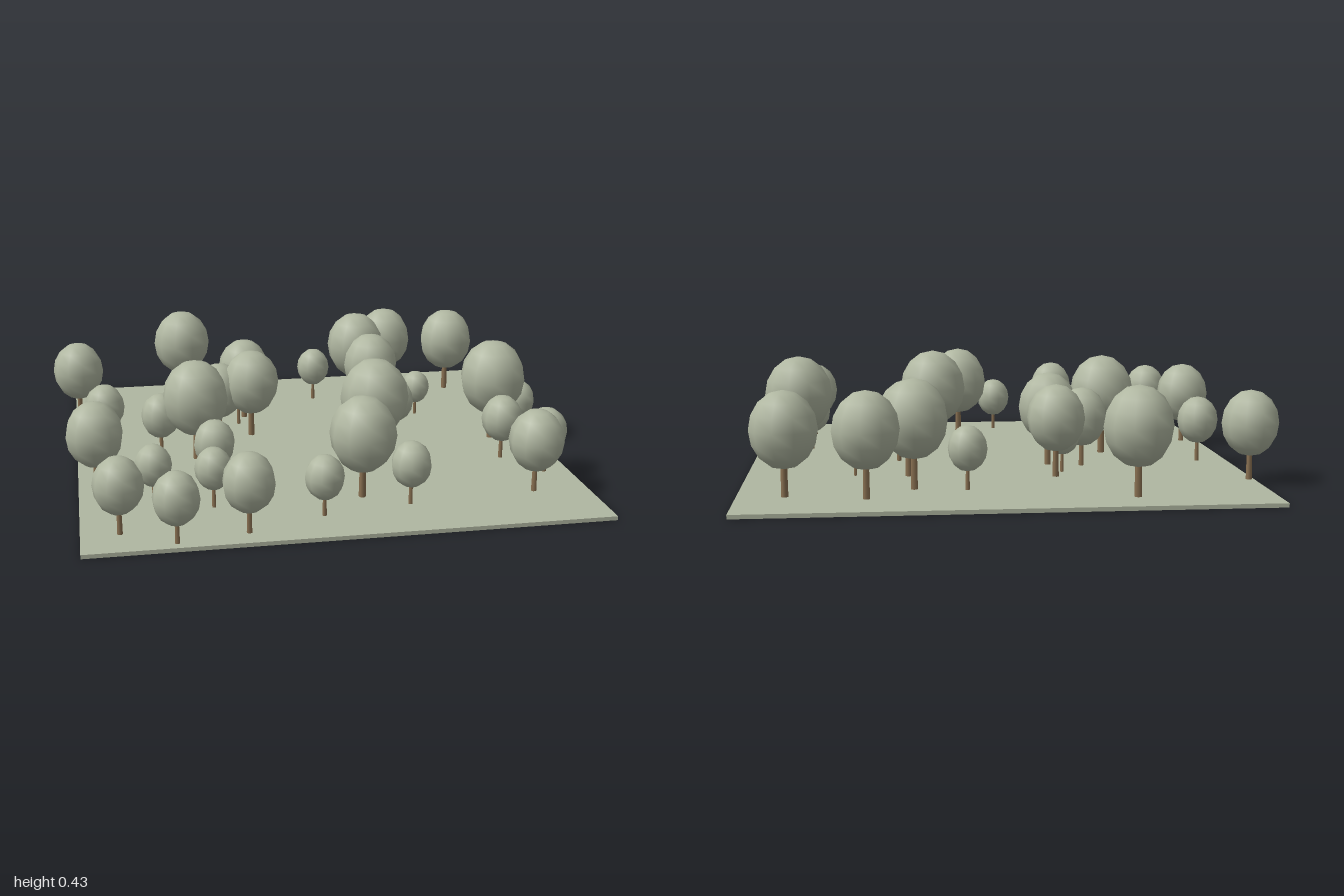
import * as THREE from 'three';

// x, z, crown radius, height of the tree top
const TREES = [
  [-0.415, -0.82, 0.125, 0.41], [-0.89, -0.555, 0.107, 0.352],
  [0.17, -0.65, 0.072, 0.25], [0.36, -0.62, 0.126, 0.417],
  [0.53, -0.77, 0.12, 0.396], [0.815, -0.71, 0.12, 0.392],
  [0.375, -0.375, 0.116, 0.382], [0.575, -0.35, 0.061, 0.21],
  [-0.178, -0.435, 0.11, 0.366], [-0.215, -0.345, 0.068, 0.24],
  [-0.31, -0.22, 0.1, 0.325], [-0.18, -0.19, 0.116, 0.382],
  [-0.79, -0.163, 0.081, 0.275], [-0.572, -0.012, 0.078, 0.27],
  [-0.437, 0.06, 0.131, 0.422], [0.405, -0.058, 0.08, 0.27],
  [0.805, 0.015, 0.134, 0.434], [0.922, 0.0, 0.073, 0.253],
  [0.258, 0.2, 0.135, 0.434], [0.768, 0.26, 0.081, 0.275],
  [-0.84, 0.315, 0.109, 0.354], [-0.395, 0.35, 0.079, 0.27],
  [-0.636, 0.5, 0.069, 0.24], [-0.425, 0.583, 0.069, 0.245],
  [0.885, 0.44, 0.082, 0.275], [0.128, 0.575, 0.125, 0.405],
  [0.775, 0.63, 0.103, 0.335], [0.286, 0.675, 0.075, 0.256],
  [-0.045, 0.73, 0.072, 0.245], [-0.772, 0.77, 0.09, 0.3],
  [-0.583, 0.88, 0.083, 0.275], [-0.33, 0.833, 0.094, 0.31],
];
const GROUND = 0.015;

export function createModel() {
  const model = new THREE.Group();
  const grass = new THREE.MeshStandardMaterial({ name: 'pale grass', color: 0xb0b7a1 });
  const leaves = new THREE.MeshStandardMaterial({ name: 'sage leaves', color: 0xb0b7a1 });
  const bark = new THREE.MeshStandardMaterial({ name: 'brown bark', color: 0x8a7152 });

  // Thin ground slab, slightly off centre because some crowns overhang it
  const ground = new THREE.Mesh(new THREE.BoxGeometry(1.894, GROUND, 1.896), grass);
  ground.name = 'ground';
  ground.position.set(0.038, GROUND / 2, -0.026);
  model.add(ground);

  // Unit shapes shared by all the trees
  const crownShape = new THREE.SphereGeometry(1, 10, 8);
  const trunkShape = new THREE.CylinderGeometry(0.85, 1.1, 1, 6);

  TREES.forEach(([x, z, r, top], i) => {
    const tree = new THREE.Group();
    tree.name = `tree${i + 1}`;
    tree.position.set(x, 0, z);
    tree.rotation.y = i * 2.4;

    // Egg-shaped crown, a little taller than wide
    const half = r * 1.16;
    const crown = new THREE.Mesh(crownShape, leaves);
    crown.name = 'crown';
    crown.scale.set(r, half, r);
    crown.position.y = top - half;

    // Trunk runs from the ground into the crown
    const length = top - half * 1.5 - GROUND;
    const trunk = new THREE.Mesh(trunkShape, bark);
    trunk.name = 'trunk';
    trunk.scale.set(r * 0.1, length, r * 0.1);
    trunk.position.y = GROUND + length / 2;

    tree.add(crown, trunk);
    model.add(tree);
  });
  return model;
}
